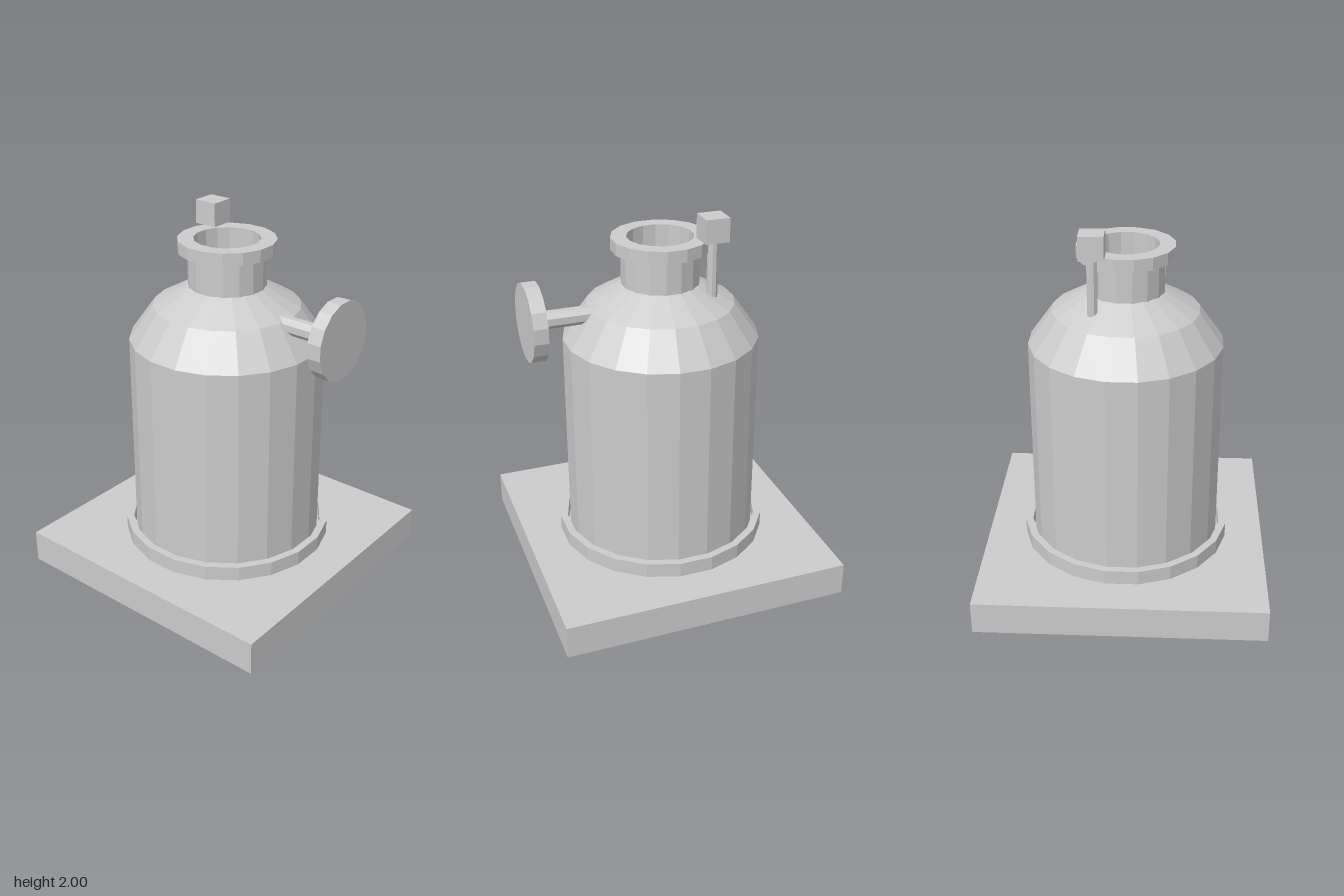
import * as THREE from 'three';

export function createModel() {
  const group = new THREE.Group();
  const material = new THREE.MeshStandardMaterial({ color: 0xcccccc, flatShading: true });

  const add = (name, geometry, x = 0, y = 0, z = 0) => {
    const mesh = new THREE.Mesh(geometry, material);
    mesh.name = name;
    mesh.position.set(x, y, z);
    group.add(mesh);
    return mesh;
  };
  // Faceted turned part: profile of [radius, y], a flat facing front
  const turn = (name, profile, sides) => add(name, new THREE.LatheGeometry(
    profile.map(([r, y]) => new THREE.Vector2(r, y)), sides, Math.PI / sides));
  // Faceted rod along x, from x0 to x1
  const rodX = (name, r, x0, x1, y, sides) => {
    const geometry = new THREE.CylinderGeometry(r, r, x1 - x0, sides, 1, false, Math.PI / sides);
    add(name, geometry.rotateZ(-Math.PI / 2), (x0 + x1) / 2, y, 0);
  };

  // Square base with an open retaining ring
  add('basePlate', new THREE.BoxGeometry(1.54, 0.18, 1.54), 0, 0.09, 0);
  turn('baseRing', [[0.57, 0.18], [0.57, 0.26], [0.53, 0.26], [0.53, 0.18]], 20);

  // Body with stepped shoulder, closed under the neck
  turn('body', [[0.515, 0.18], [0.515, 1.345], [0.387, 1.525], [0.2, 1.63], [0, 1.63]], 20);

  // Hollow neck and its collar
  turn('neck', [[0.204, 1.62], [0.204, 1.81], [0.173, 1.81], [0.173, 1.62]], 16);
  turn('collar', [[0.173, 1.81], [0.255, 1.81], [0.255, 1.875], [0.173, 1.875], [0.173, 1.81]], 16);

  // Side shaft and hand wheel
  rodX('wheelShaft', 0.047, 0.25, 0.65, 1.5, 8);
  rodX('handWheel', 0.204, 0.645, 0.72, 1.5, 16);

  // Thin post with a cube on top, behind the neck
  add('latchPost', new THREE.CylinderGeometry(0.028, 0.028, 0.38, 8, 1, false, Math.PI / 8), -0.222, 1.69, -0.157);
  add('latchBlock', new THREE.BoxGeometry(0.127, 0.125, 0.127), -0.222, 1.9375, -0.157);

  return group;
}
